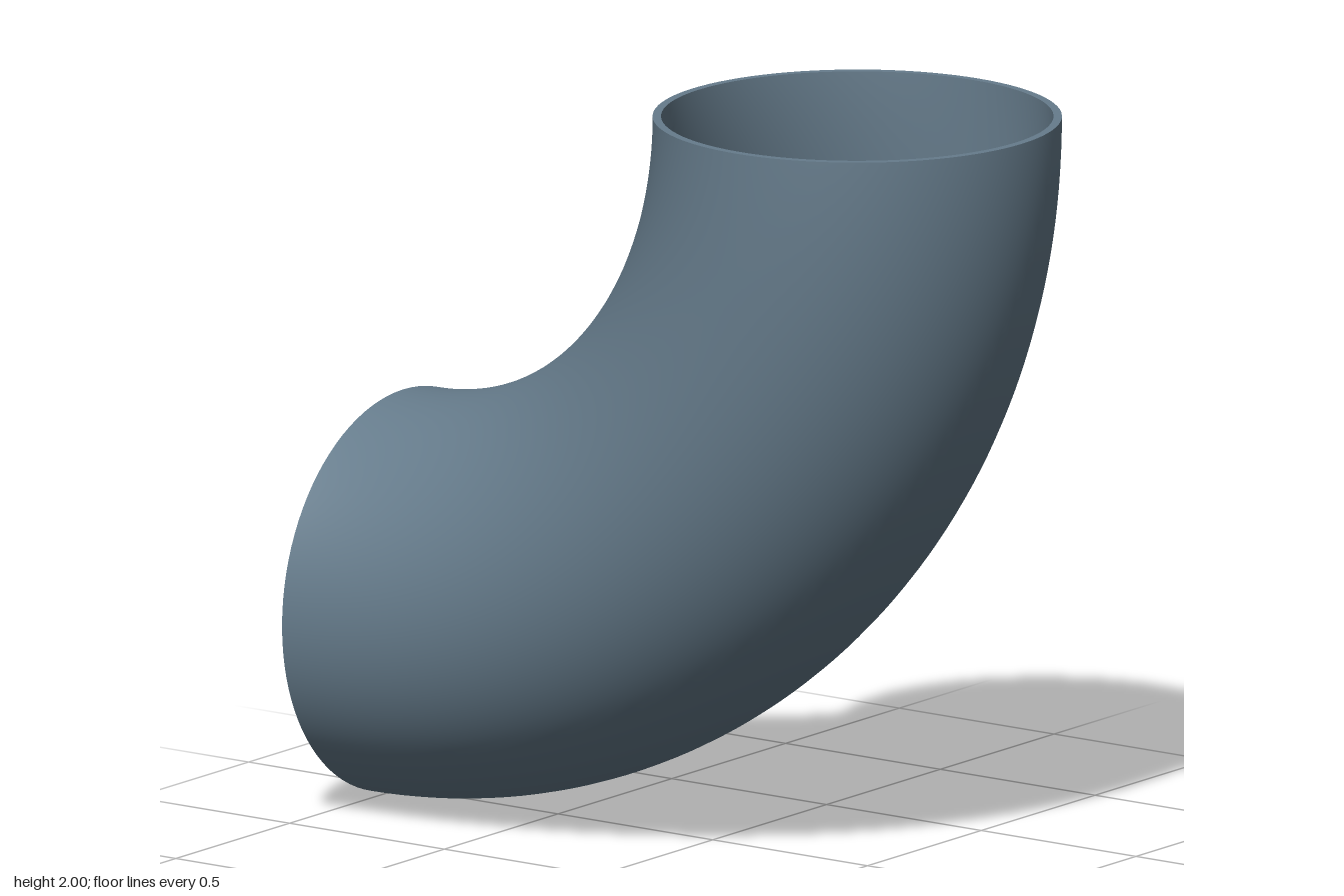
import * as THREE from 'three';

const BEND = 1.467;   // radius of the centre line
const OUTER = 0.533;  // outer pipe radius
const INNER = 0.511;  // bore radius
const SIDES = 96;
const STEPS = 64;

export function createModel() {
  const group = new THREE.Group();
  group.name = 'pipeElbow';
  const material = new THREE.MeshStandardMaterial({ color: 0x667c8c });

  const add = (name, geometry) => {
    const mesh = new THREE.Mesh(geometry, material);
    mesh.name = name;
    group.add(mesh);
    return mesh;
  };

  // Quarter bend about the point (-1, 2), from the left opening to the top one
  const bend = (radius) =>
    new THREE.TorusGeometry(BEND, radius, SIDES, STEPS, Math.PI / 2)
      .rotateZ(-Math.PI / 2)
      .translate(-1, 2, 0);

  add('outerWall', bend(OUTER));

  // Bore: the same bend turned inside out
  const bore = bend(INNER);
  bore.index.array.reverse();
  const normals = bore.attributes.normal.array;
  for (let i = 0; i < normals.length; i++) normals[i] *= -1;
  add('innerWall', bore);

  // Flat annular rims closing the wall at both openings
  const rim = () => new THREE.RingGeometry(INNER, OUTER, SIDES);
  add('topRim', rim().rotateX(-Math.PI / 2).translate(BEND - 1, 2, 0));
  add('sideRim', rim().rotateY(-Math.PI / 2).translate(-1, 2 - BEND, 0));

  return group;
}
